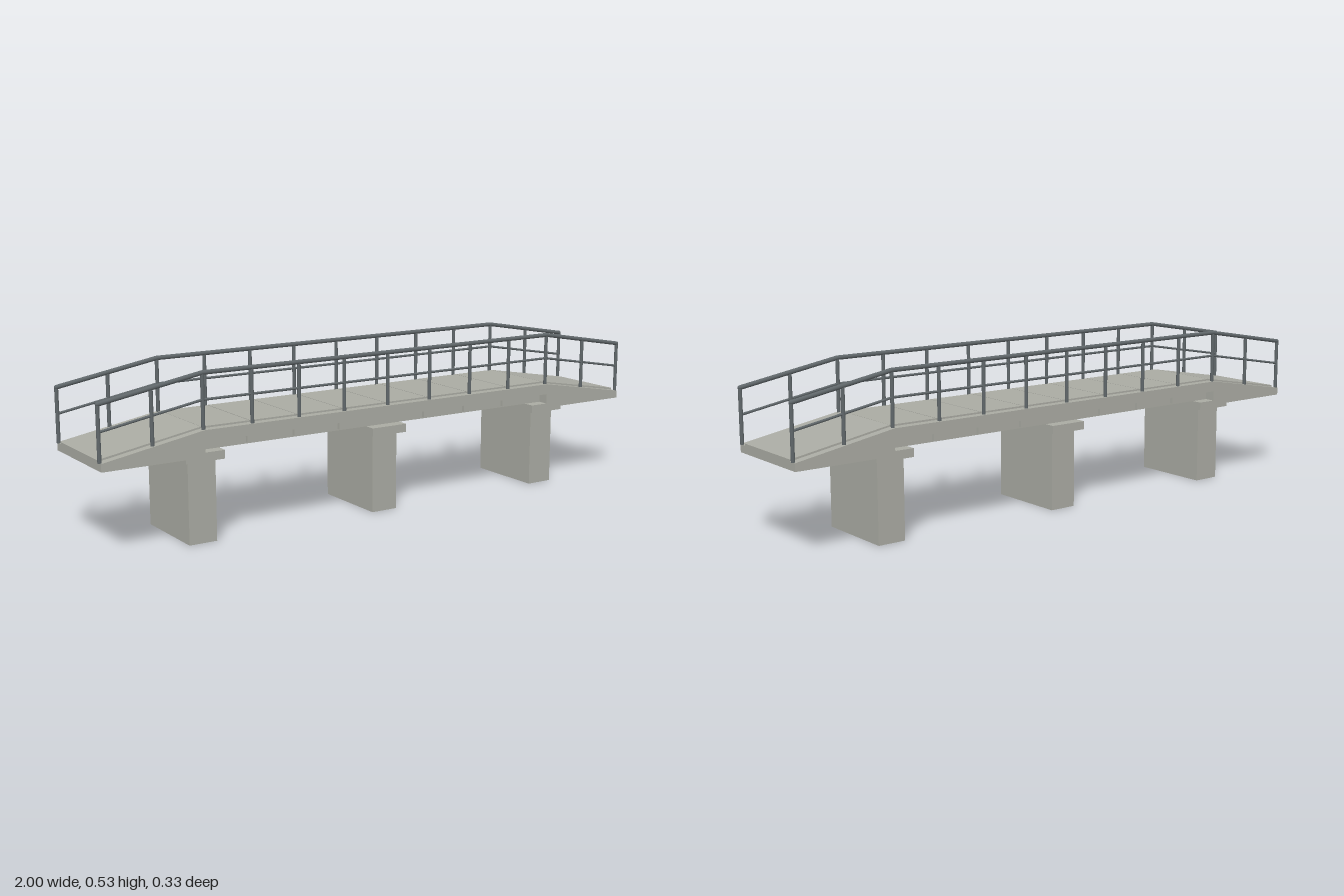
import * as THREE from 'three';

const END = 0.993, KNEE = 0.662;      // deck ends and where the ramps meet the flat span
const LOW = 0.297, HIGH = 0.355;      // deck base height at the ends and over the span
const BAY = KNEE / 4;                 // spacing of posts and deck panels

const deckY = (x) => Math.abs(x) <= KNEE
  ? HIGH
  : HIGH + (LOW - HIGH) * (Math.abs(x) - KNEE) / (END - KNEE);

export function createModel() {
  const concrete = new THREE.MeshStandardMaterial({ color: 0xa9aaa2 });
  concrete.name = 'concrete';
  const steel = new THREE.MeshStandardMaterial({ color: 0x60676a });
  steel.name = 'railing steel';

  const bridge = new THREE.Group();
  bridge.name = 'footbridge';

  const add = (name, geometry, material, parent = bridge) => {
    const mesh = new THREE.Mesh(geometry, material);
    mesh.name = name;
    parent.add(mesh);
    return mesh;
  };
  const box = (name, x, y, z, w, h, d) =>
    add(name, new THREE.BoxGeometry(w, h, d), concrete).position.set(x, y, z);
  // side profile in x/y, extruded evenly about z = 0
  const slab = (name, points, width) => {
    const shape = new THREE.Shape(points.map(([x, y]) => new THREE.Vector2(x, y)));
    const geometry = new THREE.ExtrudeGeometry(shape, { depth: width, bevelEnabled: false });
    geometry.translate(0, 0, -width / 2);
    add(name, geometry, concrete);
  };
  // round bar between two points
  const bar = (name, a, b, radius, parent) => {
    const dir = b.clone().sub(a);
    const mesh = add(name, new THREE.CylinderGeometry(radius, radius, dir.length(), 10), steel, parent);
    mesh.position.copy(a).add(b).multiplyScalar(0.5);
    mesh.quaternion.setFromUnitVectors(new THREE.Vector3(0, 1, 0), dir.normalize());
  };

  // deck: solid wedge ramps joined by a thinner span
  slab('deck', [
    [-END, 0.272], [-KNEE, 0.272], [-KNEE, 0.32], [KNEE, 0.32], [KNEE, 0.272],
    [END, 0.272], [END, LOW], [KNEE, HIGH], [-KNEE, HIGH], [-END, LOW],
  ], 0.33);

  // walking surface: flat panels with narrow joints, plus a sloped panel on each ramp
  for (let i = 0; i < 8; i++) {
    box('walkwayPanel', -KNEE + BAY * (i + 0.5), HIGH + 0.002, 0, BAY - 0.003, 0.007, 0.274);
  }
  slab('leftRampSurface', [[KNEE, HIGH], [END, LOW], [END, LOW + 0.006], [KNEE, HIGH + 0.0055]], 0.274);
  slab('rightRampSurface', [[-END, LOW], [-KNEE, HIGH], [-KNEE, HIGH + 0.0055], [-END, LOW + 0.006]], 0.274);

  // piers with wider caps
  for (const x of [-KNEE, 0, KNEE]) {
    box('pier', x, 0.131, 0, 0.093, 0.262, 0.274);
    box('pierCap', x, 0.2735, 0, 0.13, 0.027, 0.33);
  }

  // girders and crossbeams under the span
  for (const side of [-1, 1]) {
    box('girder', 0, 0.3045, side * 0.115, KNEE * 2, 0.035, 0.025);
  }
  for (const i of [-3, -2, -1, 1, 2, 3]) {
    box('crossbeam', i * BAY, 0.304, 0, 0.018, 0.024, 0.276);
  }

  // railings
  for (const side of [-1, 1]) {
    const railing = new THREE.Group();
    railing.name = side > 0 ? 'frontRailing' : 'backRailing';
    bridge.add(railing);
    const at = (x, rise) => new THREE.Vector3(x, deckY(x) + rise, side * 0.154);

    const posts = [-END, -(END + KNEE) / 2];
    for (let i = -4; i <= 4; i++) posts.push(i * BAY);
    posts.push((END + KNEE) / 2, END);
    for (const x of posts) bar('post', at(x, 0), at(x, 0.171), 0.006, railing);

    const stops = [-END, -KNEE, KNEE, END];
    for (let i = 0; i < 3; i++) {
      bar('topRail', at(stops[i], 0.171), at(stops[i + 1], 0.171), 0.007, railing);
      bar('midRail', at(stops[i], 0.09), at(stops[i + 1], 0.09), 0.004, railing);
    }
    // rounded joints on the top rail
    for (const x of stops) {
      add('railJoint', new THREE.SphereGeometry(0.007, 10, 8), steel, railing).position.copy(at(x, 0.171));
    }
  }

  return bridge;
}
